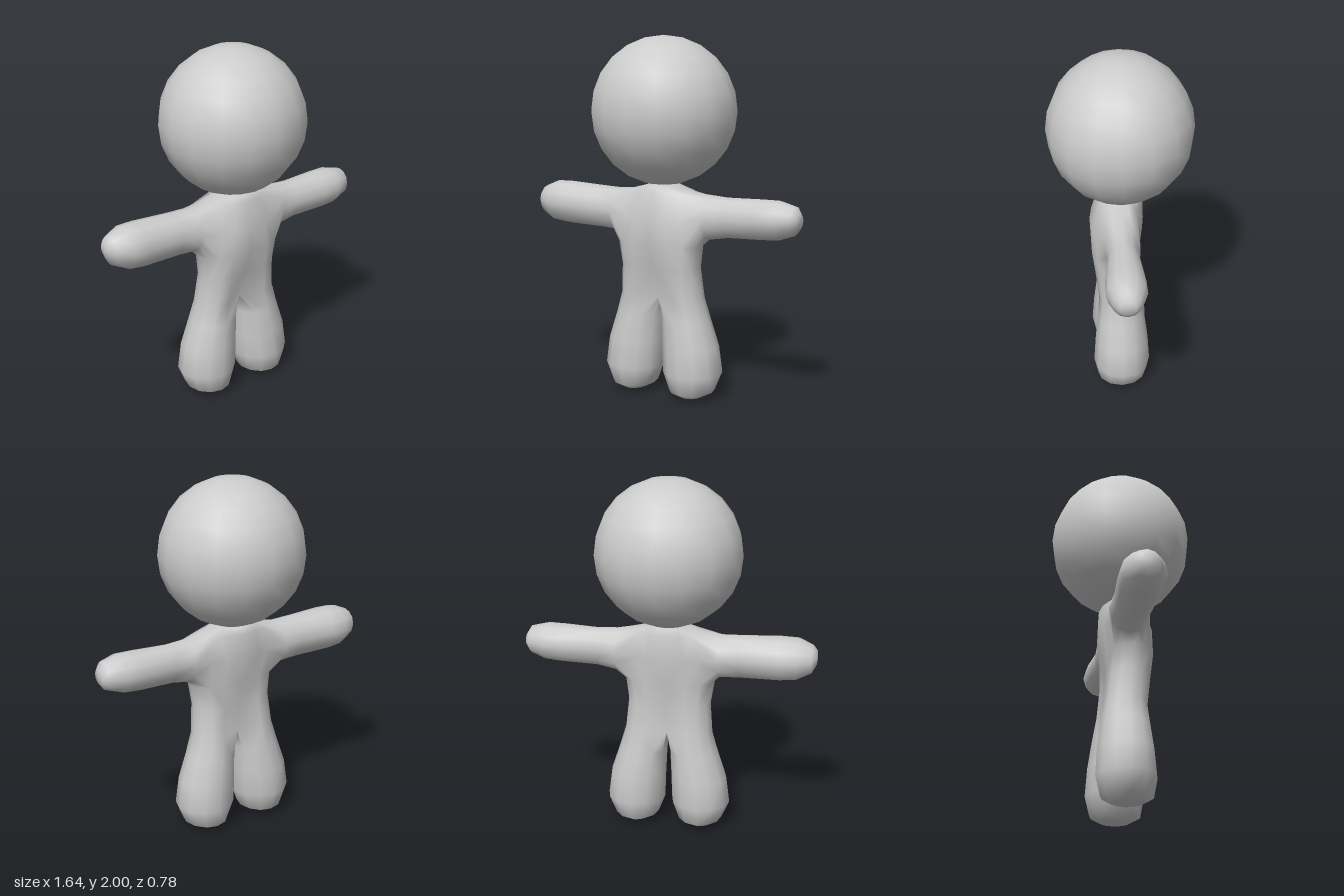
import * as THREE from 'three';
import { mergeVertices } from 'three/addons/utils/BufferGeometryUtils.js';

// Torso rows, top down: y, half width, front z, back z, groove (0 = round, 1 = two legs)
const TORSO = [
  [1.19, 0.08, 0.1, -0.1, 0],
  [1.16, 0.19, 0.13, -0.12, 0],
  [1.02, 0.23, 0.17, -0.125, 0],
  [0.87, 0.255, 0.17, -0.105, 0.15],
  [0.74, 0.235, 0.15, -0.1, 0.5],
  [0.57, 0.25, 0.125, -0.11, 1],
];
// Leg rows: y, inner x, outer x, front z, back z
const LEG = [
  [0.45, 0.008, 0.285, 0.135, -0.13],
  [0.3, 0.015, 0.335, 0.15, -0.15],
  [0.15, 0.02, 0.355, 0.16, -0.16],
  [0.045, 0.06, 0.31, 0.14, -0.135],
  [0.012, 0.12, 0.25, 0.08, -0.08],
];
// Arm rows: distance from centre, bottom y, top y, half depth
const LEFT_ARM = [
  [0.29, 0.907, 1.153, 0.095],
  [0.4, 0.927, 1.146, 0.085],
  [0.6, 0.935, 1.152, 0.106],
  [0.7, 0.943, 1.153, 0.107],
  [0.79, 0.975, 1.13, 0.075],
  [0.815, 1.01, 1.09, 0.045],
];
const RIGHT_ARM = [
  [0.29, 0.91, 1.153, 0.11],
  [0.4, 0.916, 1.157, 0.106],
  [0.62, 0.92, 1.166, 0.122],
  [0.71, 0.93, 1.163, 0.12],
  [0.79, 0.97, 1.13, 0.078],
  [0.815, 1.02, 1.1, 0.045],
];
const SIDES = 12; // sides of each limb
const HALF = 8; // columns of half the torso, front centre round to back centre

// Point k of a leg ring; k = 1 is front, 4 outer, 7 back, 10 inner
function legPoint(k, y, inner, outer, front, back) {
  const a = ((k - 4) * Math.PI) / 6;
  return [
    (inner + outer) / 2 + ((outer - inner) / 2) * Math.cos(a),
    y,
    (front + back) / 2 - ((front - back) / 2) * Math.sin(a),
  ];
}

// Point k of a torso row, blending from a half ellipse to a leg ring
function torsoPoint(k, [y, w, front, back, groove]) {
  const a = (k * Math.PI) / HALF;
  const leg = legPoint(k, y, 0, w, front, back);
  const centre = k === 0 || k === HALF;
  if (centre) leg[2] *= 0.6;
  const x = THREE.MathUtils.lerp(w * Math.pow(Math.abs(Math.sin(a)), 0.85), leg[0], groove);
  const z = (front + back) / 2 + ((front - back) / 2) * Math.cos(a);
  return [centre ? 0 : x, y, THREE.MathUtils.lerp(z, leg[2], groove)];
}

function createBody() {
  const positions = [];

  function buildHalf(side, armRows) {
    const tri = (a, b, c) => {
      for (const p of side > 0 ? [a, b, c] : [a, c, b]) positions.push(p[0] * side, p[1], p[2]);
    };
    const quad = (a, b, c, d) => {
      tri(a, b, c);
      tri(a, c, d);
    };
    // Skins a limb through closed rings and closes its tip
    const limb = (rings, tip, flip) => {
      rings.forEach((ring, r) => {
        const next = rings[r + 1];
        for (let k = 0; k < SIDES; k++) {
          const n = (k + 1) % SIDES;
          const [i, j] = flip ? [n, k] : [k, n];
          if (next) quad(ring[i], next[i], next[j], ring[j]);
          else tri(ring[i], tip, ring[j]);
        }
      });
    };

    // Torso, leaving a hole for the arm
    const rows = TORSO.map((row) => Array.from({ length: HALF + 1 }, (_, k) => torsoPoint(k, row)));
    for (let k = 0; k < HALF; k++) {
      tri([0, 1.192, 0], rows[0][k], rows[0][k + 1]);
      for (let r = 0; r < rows.length - 1; r++) {
        const armHole = (r === 1 || r === 2) && k >= 2 && k < 6;
        if (!armHole) quad(rows[r][k], rows[r + 1][k], rows[r + 1][k + 1], rows[r][k + 1]);
      }
    }

    // Leg, starting from the lowest torso row closed by the crotch arch
    const crotch = [[0, 0.56, -0.035], [0, 0.555, 0], [0, 0.56, 0.035]];
    const legRings = [[...rows[5], ...crotch]];
    for (const [y, inner, outer, front, back] of LEG) {
      legRings.push(Array.from({ length: SIDES }, (_, k) => legPoint(k, y, inner, outer, front, back)));
    }
    limb(legRings, [0.19, 0, 0], false);

    // Arm, starting from the edge of its hole
    const [top, mid, low] = [rows[1], rows[2], rows[3]];
    const armRings = [[...low.slice(2, 7), mid[6], ...top.slice(2, 7).reverse(), mid[2]]];
    for (const [x, bottom, upper, depth] of armRows) {
      armRings.push(Array.from({ length: SIDES }, (_, i) => {
        const a = ((i - 2) * Math.PI) / 6;
        return [x, (bottom + upper) / 2 - ((upper - bottom) / 2) * Math.cos(a), -depth * Math.sin(a)];
      }));
    }
    limb(armRings, [0.82, 1.055, 0], true);
  }

  buildHalf(1, LEFT_ARM);
  buildHalf(-1, RIGHT_ARM);

  const geometry = new THREE.BufferGeometry();
  geometry.setAttribute('position', new THREE.Float32BufferAttribute(positions, 3));
  const welded = mergeVertices(geometry, 1e-4);
  welded.computeVertexNormals();
  return welded;
}

export function createModel() {
  const model = new THREE.Group();
  model.name = 'figure';
  const material = new THREE.MeshStandardMaterial({ color: 0xcccccc });

  // Body with arms and legs in one skin
  const body = new THREE.Mesh(createBody(), material);
  body.name = 'body';
  model.add(body);

  // Large round head resting on the neck
  const head = new THREE.Mesh(new THREE.SphereGeometry(1, 16, 12), material);
  head.name = 'head';
  head.scale.set(0.405, 0.406, 0.392);
  head.position.y = 1.594;
  model.add(head);

  return model;
}
